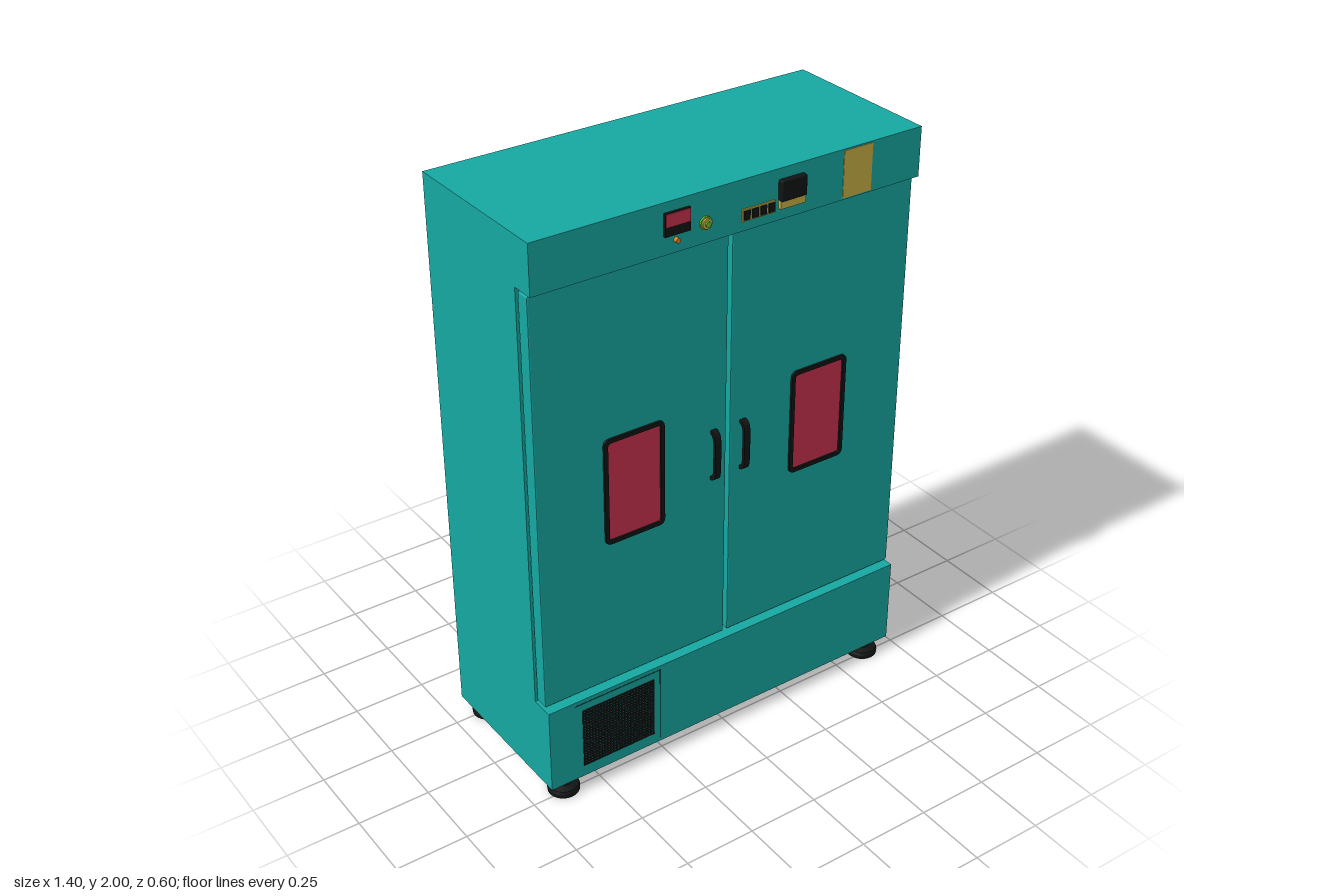
import * as THREE from 'three';
import { RoundedBoxGeometry } from 'three/addons/geometries/RoundedBoxGeometry.js';

const mat = (color) => new THREE.MeshStandardMaterial({ color });

export function createModel() {
  const root = new THREE.Group();
  const teal = mat(0x16a8a2), black = mat(0x121414), red = mat(0xc8324e);
  const gold = mat(0xc8b045), green = mat(0x6cc02c), orange = mat(0xd88020), dark = mat(0x0c5552);

  const add = (parent, name, geo, material, x = 0, y = 0, z = 0) => {
    const m = new THREE.Mesh(geo, material);
    m.name = name;
    m.position.set(x, y, z);
    parent.add(m);
    return m;
  };
  // Box given by its limits on each axis
  const box = (parent, name, material, x0, x1, y0, y1, z0, z1) =>
    add(parent, name, new THREE.BoxGeometry(x1 - x0, y1 - y0, z1 - z0), material,
      (x0 + x1) / 2, (y0 + y1) / 2, (z0 + z1) / 2);
  const group = (name) => {
    const g = new THREE.Group();
    g.name = name;
    root.add(g);
    return g;
  };
  // Rounded rectangle outline centred on cx, cy
  const roundRect = (Type, cx, cy, w, h, r) => {
    const p = new Type(), a = cx - w / 2, b = cx + w / 2, c = cy - h / 2, d = cy + h / 2;
    p.moveTo(a + r, c).lineTo(b - r, c).quadraticCurveTo(b, c, b, c + r);
    p.lineTo(b, d - r).quadraticCurveTo(b, d, b - r, d);
    p.lineTo(a + r, d).quadraticCurveTo(a, d, a, d - r);
    p.lineTo(a, c + r).quadraticCurveTo(a, c, a + r, c);
    return p;
  };
  const extrude = (shape, depth, bevel = 0) => new THREE.ExtrudeGeometry(shape, {
    depth, bevelEnabled: bevel > 0, bevelSize: bevel, bevelThickness: bevel,
    bevelOffset: -bevel, bevelSegments: 2, curveSegments: 6,
  });

  // Cabinet: base, recessed middle and header
  const cabinet = group('cabinet');
  box(cabinet, 'base', teal, -0.7, 0.7, 0.06, 0.372, -0.298, 0.282);
  box(cabinet, 'cabinetBody', teal, -0.7, 0.7, 0.372, 1.835, -0.298, 0.202);
  box(cabinet, 'header', teal, -0.7, 0.7, 1.835, 2, -0.298, 0.282);

  // Two mirrored doors, each with a window, a handle and hinge pins
  for (const s of [-1, 1]) {
    const door = group(s < 0 ? 'rightDoor' : 'leftDoor');
    const wx = s * 0.352, wy = 1.093;
    const panel = roundRect(THREE.Shape, s * 0.352, 1.104, 0.69, 1.444, 0.006);
    panel.holes.push(roundRect(THREE.Path, wx, wy, 0.2, 0.35, 0.015));
    add(door, 'doorPanel', extrude(panel, 0.04, 0.004), teal, 0, 0, 0.214);

    const frame = roundRect(THREE.Shape, wx, wy, 0.218, 0.374, 0.022);
    frame.holes.push(roundRect(THREE.Path, wx, wy, 0.19, 0.346, 0.012));
    add(door, 'windowFrame', extrude(frame, 0.062), black, 0, 0, 0.204);
    box(door, 'windowGlass', red, wx - 0.097, wx + 0.097, wy - 0.174, wy + 0.174, 0.206, 0.26);

    // Bowed flat grip, drawn in profile and extruded across its width
    const grip = new THREE.Shape();
    grip.moveTo(-0.09, 0).bezierCurveTo(-0.088, 0.036, -0.06, 0.028, 0, 0.03);
    grip.bezierCurveTo(0.06, 0.028, 0.088, 0.036, 0.09, 0).lineTo(0.078, 0);
    grip.bezierCurveTo(0.076, 0.022, 0.05, 0.017, 0, 0.018);
    grip.bezierCurveTo(-0.05, 0.017, -0.076, 0.022, -0.078, 0).closePath();
    const gripGeo = new THREE.ExtrudeGeometry(grip, { depth: 0.022, bevelEnabled: false, curveSegments: 10 });
    gripGeo.translate(0, 0, -0.011);
    // Profile length to y, bow to z, width to x
    gripGeo.applyMatrix4(new THREE.Matrix4().set(
      0, 0, 1, 0,
      1, 0, 0, 0,
      0, 1, 0, 0,
      0, 0, 0, 1));
    add(door, 'handle', gripGeo, black, s * 0.056, 1.087, 0.256);

    for (const y of [0.377, 1.83])
      add(door, 'hingePin', new THREE.CylinderGeometry(0.008, 0.008, 0.014, 12), teal, s * 0.67, y, 0.234);
  }

  // Ventilation grille with the seams of its access panel
  const vent = group('ventilation');
  box(vent, 'panelSeamTop', dark, -0.605, -0.277, 0.354, 0.358, 0.28, 0.2828);
  box(vent, 'panelSeamSide', dark, -0.279, -0.275, 0.075, 0.358, 0.28, 0.2828);
  const gx0 = -0.577, gx1 = -0.302, gy0 = 0.102, gy1 = 0.328;
  for (let i = 0; i <= 24; i++) {
    const x = gx0 + 0.003 + (gx1 - gx0 - 0.006) * i / 24;
    box(vent, 'grilleUpright', black, x - 0.003, x + 0.003, gy0, gy1, 0.28, 0.2845);
  }
  for (let i = 0; i <= 20; i++) {
    const y = gy0 + 0.003 + (gy1 - gy0 - 0.006) * i / 20;
    box(vent, 'grilleSlat', black, gx0, gx1, y - 0.003, y + 0.003, 0.28, 0.284);
  }

  // Controls on the header
  const controls = group('controls');
  const knob = (name, material, x, y, r, depth) =>
    add(controls, name, new THREE.CylinderGeometry(r, r, depth, 24), material, x, y, 0.282 + depth / 2)
      .rotateX(Math.PI / 2);
  box(controls, 'displayHousing', black, -0.255, -0.167, 1.895, 1.968, 0.28, 0.291);
  box(controls, 'displayScreen', red, -0.253, -0.169, 1.925, 1.966, 0.285, 0.294);
  knob('indicatorLamp', orange, -0.213, 1.876, 0.008, 0.014);
  knob('buttonCollar', green, -0.11, 1.9, 0.021, 0.006);
  knob('buttonRing', gold, -0.11, 1.9, 0.017, 0.012);
  knob('button', green, -0.11, 1.9, 0.009, 0.018);
  for (let i = 0; i < 4; i++) {
    const x = 0.035 + i * 0.03;
    box(controls, 'switchFrame', gold, x - 0.0145, x + 0.0145, 1.867, 1.906, 0.28, 0.287);
    box(controls, 'switchRocker', black, x - 0.011, x + 0.011, 1.872, 1.901, 0.285, 0.291);
  }
  add(controls, 'controllerHousing', new RoundedBoxGeometry(0.094, 0.066, 0.026, 2, 0.004), black, 0.2, 1.932, 0.288);
  box(controls, 'controllerStrip', gold, 0.154, 0.246, 1.874, 1.9, 0.28, 0.295);
  box(controls, 'informationPlate', gold, 0.398, 0.508, 1.84, 1.995, 0.28, 0.2835);

  // Levelling feet
  const footProfile = [[0, 0], [0.053, 0], [0.054, 0.014], [0.05, 0.024], [0.026, 0.03], [0.022, 0.04], [0, 0.04]]
    .map(([r, y]) => new THREE.Vector2(r, y));
  const feet = group('feet');
  for (const x of [-0.628, 0.628]) for (const z of [0.234, -0.248]) {
    const pad = add(feet, 'footPad', new THREE.LatheGeometry(footProfile, 24), black, x, 0, z);
    pad.geometry = pad.geometry.toNonIndexed();
    pad.geometry.computeVertexNormals();
    add(feet, 'footNut', new THREE.CylinderGeometry(0.02, 0.02, 0.012, 6), black, x, 0.044, z);
    add(feet, 'footStem', new THREE.CylinderGeometry(0.014, 0.014, 0.022, 16), green, x, 0.054, z);
  }
  return root;
}
